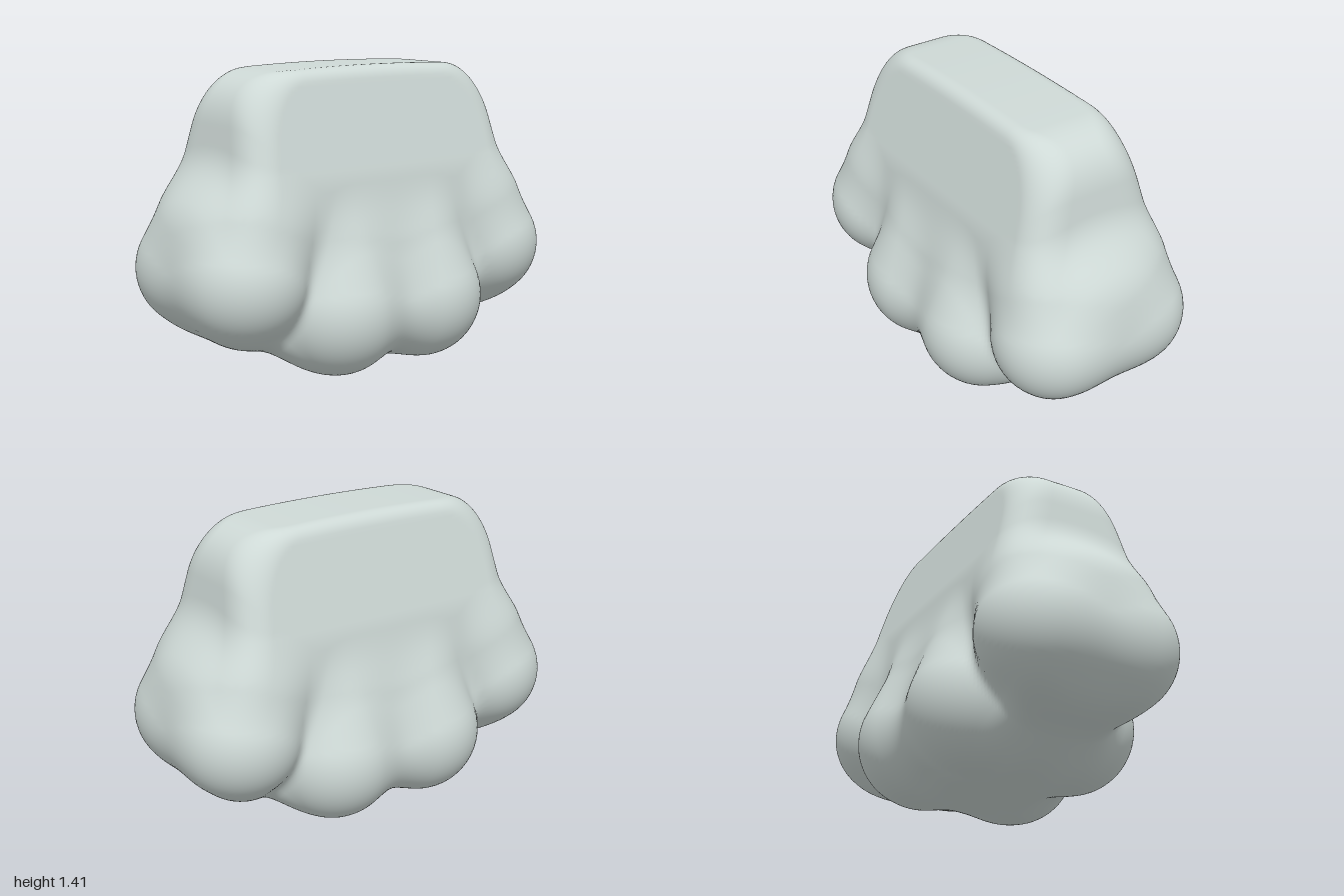
import * as THREE from 'three';

// Smooth union and smooth intersection of signed distances
function smin(a, b, k) {
  const h = Math.max(k - Math.abs(a - b), 0);
  return Math.min(a, b) - (h * h) / (4 * k);
}
const smax = (a, b, k) => -smin(-a, -b, k);

// Distance to a capsule from a to b with radius r
function capsule(x, y, z, a, b, r) {
  const [dx, dy, dz] = [b[0] - a[0], b[1] - a[1], b[2] - a[2]];
  const [px, py, pz] = [x - a[0], y - a[1], z - a[2]];
  const t = THREE.MathUtils.clamp((px * dx + py * dy + pz * dz) / (dx * dx + dy * dy + dz * dz), 0, 1);
  return Math.hypot(px - t * dx, py - t * dy, pz - t * dz) - r;
}

// Tapered block that forms the top and the core, with rounder edges at its ends
function block(x, y, z) {
  const ax = Math.abs(x), az = Math.abs(z);
  const slope = (az - 0.25 - 0.27 * (1.3 - y)) / 1.036;
  const lower = (az - 0.38 + 0.2 * (0.85 - y)) / 1.02;
  const sides = smax(slope, lower, 0.06);
  const ends = ax - 0.72 - Math.min(0.15 * (1.2 - y), 0.06);
  const top = y - 1.405 + 0.05 * x * x;
  const bottom = smax(0.05, 0.36 * ax - 0.07, 0.1) - y;
  const edge = 0.06 + 0.1 * THREE.MathUtils.smoothstep(ax, 0.4, 0.7);
  return smax(smax(smax(ends, top, 0.22), sides, edge), bottom, 0.12);
}

// Four middle lobes and four end lobes, mirrored in x and z
function middleLobes(x, y, z) {
  const lobe = (sx, sz) => capsule(sx * x, y, sz * z, [0.25, 0.3, 0.25], [0.21, 0.53, 0.15], 0.3);
  return smin(smin(lobe(1, 1), lobe(-1, 1), 0.2), smin(lobe(1, -1), lobe(-1, -1), 0.2), 0.2);
}
function endLobes(x, y, z) {
  const lobe = (sz) => capsule(Math.abs(x), y, sz * z, [0.715, 0.49, 0.195], [0.655, 0.64, 0.14], 0.28);
  return smin(lobe(1), lobe(-1), 0.24);
}

function distance(x, y, z) {
  const lobes = smin(middleLobes(x, y, z), endLobes(x, y, z), 0.06);
  return smin(block(x, y, z), lobes, 0.12);
}

// Push a fine box grid outward from a central line onto the blended surface
function bodyGeometry() {
  const geo = new THREE.BoxGeometry(1.5, 1.3, 0.6, 96, 72, 48);
  geo.translate(0, 0.7, 0);
  const pos = geo.attributes.position, nor = geo.attributes.normal;
  const p = new THREE.Vector3(), o = new THREE.Vector3(), dir = new THREE.Vector3(), n = new THREE.Vector3();
  const at = (t) => distance(o.x + dir.x * t, o.y + dir.y * t, o.z + dir.z * t);
  const e = 0.002;
  for (let i = 0; i < pos.count; i++) {
    p.fromBufferAttribute(pos, i);
    o.set(p.x * 0.5, 0.6, 0);
    dir.copy(p).sub(o).normalize();
    let hi = 0.1;
    while (hi < 2 && at(hi) < 0) hi += 0.02;
    let lo = hi - 0.02;
    for (let k = 0; k < 18; k++) {
      const mid = (lo + hi) / 2;
      if (at(mid) < 0) lo = mid; else hi = mid;
    }
    p.copy(o).addScaledVector(dir, hi);
    n.set(
      distance(p.x + e, p.y, p.z) - distance(p.x - e, p.y, p.z),
      distance(p.x, p.y + e, p.z) - distance(p.x, p.y - e, p.z),
      distance(p.x, p.y, p.z + e) - distance(p.x, p.y, p.z - e)
    ).normalize();
    pos.setXYZ(i, p.x, p.y, p.z);
    nor.setXYZ(i, n.x, n.y, n.z);
  }
  return geo;
}

export function createModel() {
  const group = new THREE.Group();
  group.name = 'lobedBlock';
  const paleGrey = new THREE.MeshStandardMaterial({ color: 0xced9d6 });
  paleGrey.name = 'paleGrey';
  const body = new THREE.Mesh(bodyGeometry(), paleGrey);
  body.name = 'body';
  group.add(body);
  return group;
}
